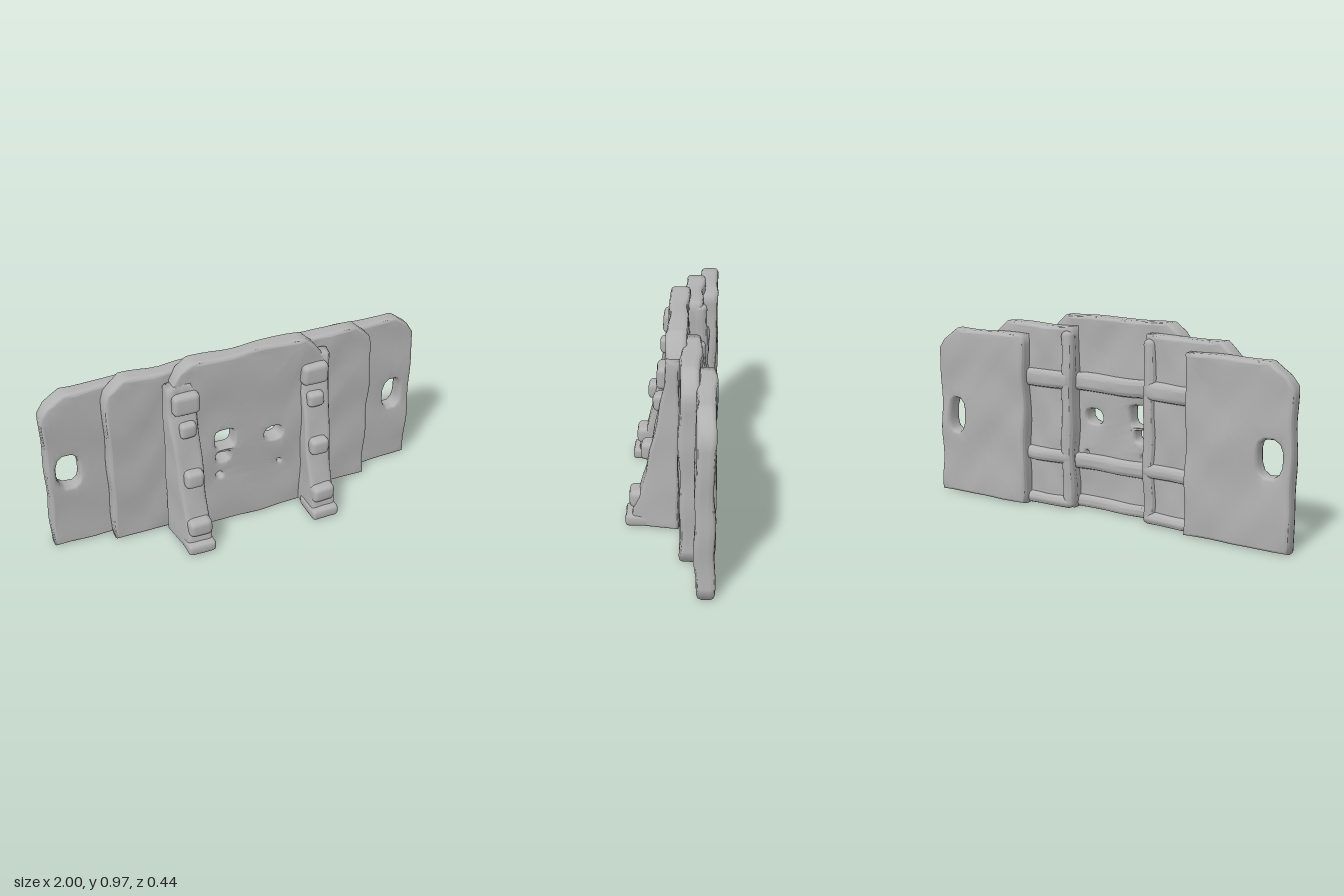
import * as THREE from 'three';
import { mergeVertices } from 'three/addons/utils/BufferGeometryUtils.js';
import { RoundedBoxGeometry } from 'three/addons/geometries/RoundedBoxGeometry.js';

const steel = new THREE.MeshStandardMaterial({ color: 0xb2b2b2 });
steel.name = 'weathered grey';

// Split long edges at their midpoints until every edge is short enough
function subdivide(geo, limit) {
  const p = geo.getAttribute('position');
  const stack = [], out = [];
  for (let i = 0; i < p.count; i += 3) {
    stack.push([0, 1, 2].map((k) => new THREE.Vector3().fromBufferAttribute(p, i + k)));
  }
  while (stack.length) {
    const t = stack.pop();
    const d = [0, 1, 2].map((k) => t[k].distanceTo(t[(k + 1) % 3]));
    const k = d.indexOf(Math.max(...d));
    if (d[k] <= limit) { for (const v of t) out.push(v.x, v.y, v.z); continue; }
    const a = t[k], b = t[(k + 1) % 3], c = t[(k + 2) % 3];
    const m = a.clone().add(b).multiplyScalar(0.5);
    stack.push([a, m, c], [m, b, c]);
  }
  const g = new THREE.BufferGeometry();
  g.setAttribute('position', new THREE.Float32BufferAttribute(out, 3));
  return mergeVertices(g, 1e-4);
}

// Gentle hammered unevenness that keeps the base flat on the ground
function hammer(geo, amount) {
  const g = subdivide(geo, 0.07), p = g.getAttribute('position');
  for (let i = 0; i < p.count; i++) {
    const x = p.getX(i), y = p.getY(i), z = p.getZ(i);
    const n = Math.sin(13 * x + 9 * y + 20 * z + 1) + 0.8 * Math.sin(17 * y - 11 * x + 2.5 * Math.sin(8 * x))
      + 0.5 * Math.sin(29 * x + 23 * y);
    p.setZ(i, z + amount * 0.7 * n);
    p.setX(i, x + amount * 0.5 * Math.sin(21 * y + 9 * z + 3 * Math.sign(x)));
    const lift = Math.min(1, y / 0.1);
    p.setY(i, Math.max(0, y + amount * 0.5 * lift * Math.sin(16 * x + 7 * z)));
  }
  g.computeVertexNormals();
  return g;
}

function add(group, name, geo, amount = 0.006) {
  const mesh = new THREE.Mesh(hammer(geo, amount), steel);
  mesh.name = name;
  group.add(mesh);
}

// Bevelled plate between zBack and zFront; holes are x, y, radii and squareness
function plate(points, zBack, zFront, holes = [], bevel = 0.022) {
  const shape = new THREE.Shape(points.map(([x, y]) => new THREE.Vector2(x, y)));
  for (const [x, y, rx, ry, power] of holes) {
    const pts = [];
    for (let i = 0; i < 12; i++) {
      const a = -(i + 0.5) / 12 * Math.PI * 2, c = Math.cos(a), s = Math.sin(a);
      pts.push(new THREE.Vector2(
        x + rx * Math.sign(c) * Math.abs(c) ** power,
        y + ry * Math.sign(s) * Math.abs(s) ** power));
    }
    shape.holes.push(new THREE.Path(pts));
  }
  const geo = new THREE.ExtrudeGeometry(shape, {
    depth: zFront - zBack - 2 * bevel, bevelThickness: bevel, bevelSize: bevel * 0.7,
    bevelOffset: -bevel * 0.7, bevelSegments: 2,
  });
  return geo.translate(0, 0, zBack + bevel);
}

const box = (x0, x1, y0, y1, z0, z1, r, segments = 1) =>
  new RoundedBoxGeometry(x1 - x0, y1 - y0, z1 - z0, segments, r)
    .translate((x0 + x1) / 2, (y0 + y1) / 2, (z0 + z1) / 2);

// Sloping support seen from the side, given as z, y
const FIN = [[-0.04, 0], [0.19, 0], [0.185, 0.09], [0.15, 0.17], [0.12, 0.28], [0.1, 0.4],
  [0.07, 0.54], [0.045, 0.66], [0.025, 0.74], [0.02, 0.87], [-0.04, 0.87]];

// Knobs on the support: y, z, half width, half height, half depth
const KNOBS = [[0.135, 0.155, 0.06, 0.045, 0.046], [0.39, 0.1, 0.048, 0.045, 0.042],
  [0.64, 0.045, 0.042, 0.04, 0.036], [0.775, 0.02, 0.068, 0.055, 0.043]];

export function createModel() {
  const model = new THREE.Group();
  model.name = 'steppedBarrier';

  // Centre panel with ragged openings
  add(model, 'centrePanel', plate(
    [[-0.4, 0], [0.4, 0], [0.405, 0.8], [0.39, 0.86], [0.35, 0.92], [0.3, 0.97],
      [-0.29, 0.97], [-0.35, 0.93], [-0.39, 0.88], [-0.405, 0.8]],
    -0.07, 0.022,
    [[-0.135, 0.505, 0.052, 0.053, 0.5], [-0.142, 0.405, 0.038, 0.03, 0.7],
      [-0.165, 0.3, 0.018, 0.016, 1], [0.125, 0.47, 0.048, 0.038, 0.8],
      [0.163, 0.285, 0.008, 0.009, 1]], 0.02));

  // Horizontal ribs across the back of the centre panel
  add(model, 'upperBackRib', box(-0.24, 0.24, 0.6, 0.69, -0.105, -0.04, 0.025));
  add(model, 'lowerBackRib', box(-0.24, 0.24, 0.2, 0.28, -0.105, -0.04, 0.025));
  add(model, 'bottomBackRib', box(-0.24, 0.24, 0, 0.06, -0.095, -0.04, 0.02));

  for (const s of [1, -1]) {
    const side = new THREE.Group();
    side.name = s > 0 ? 'leftSide' : 'rightSide';
    model.add(side);
    const span = (a, b) => (s > 0 ? [a, b] : [-b, -a]);
    const flip = (pts) => (s > 0 ? pts : pts.map(([x, y]) => [-x, y]).reverse());

    // Middle and outer panels step backwards
    add(side, 'middlePanel', plate(
      flip([[0.21, 0], [0.7, 0], [0.705, 0.8], [0.69, 0.85], [0.61, 0.92], [0.21, 0.92]]),
      -0.14, -0.05));
    add(side, 'outerPanel', plate(
      flip([[0.46, 0], [0.995, 0], [0.995, 0.76], [0.96, 0.81], [0.88, 0.87], [0.46, 0.87]]),
      -0.21, -0.125, [[s * 0.887, s > 0 ? 0.415 : 0.432, s > 0 ? 0.05 : 0.06, 0.09, 0.75]]));

    // Raised frame on the back of the middle panel
    add(side, 'backFrameUpright', box(...span(0.205, 0.265), 0, 0.9, -0.165, -0.09, 0.025));
    for (const [y0, y1] of [[0, 0.06], [0.23, 0.3], [0.61, 0.7]]) {
      add(side, 'backFrameRail', box(...span(0.21, 0.5), y0, y1, -0.168, -0.09, 0.025));
    }

    // Sloping support, flaring outward towards the panel
    const fin = plate(FIN, -0.063, 0.063, [], 0.02).rotateY(-Math.PI / 2);
    const p = fin.getAttribute('position');
    for (let i = 0; i < p.count; i++) {
      const x = p.getX(i), flare = Math.max(0, 0.12 - p.getZ(i)) * 0.2;
      p.setX(i, x + (x * s > 0 ? s * flare : 0) + s * 0.34);
    }
    add(side, 'support', fin, 0.004);
    add(side, 'supportFoot', box(...span(0.268, 0.412), 0, 0.06, 0.05, 0.22, 0.018), 0.003);
    for (const [y, z, rx, ry, rz] of KNOBS) {
      add(side, 'supportKnob', box(s * 0.337 - rx, s * 0.337 + rx, y - ry, y + ry, z - rz, z + rz,
        rz * 0.6, 2), 0.003);
    }
  }
  return model;
}
